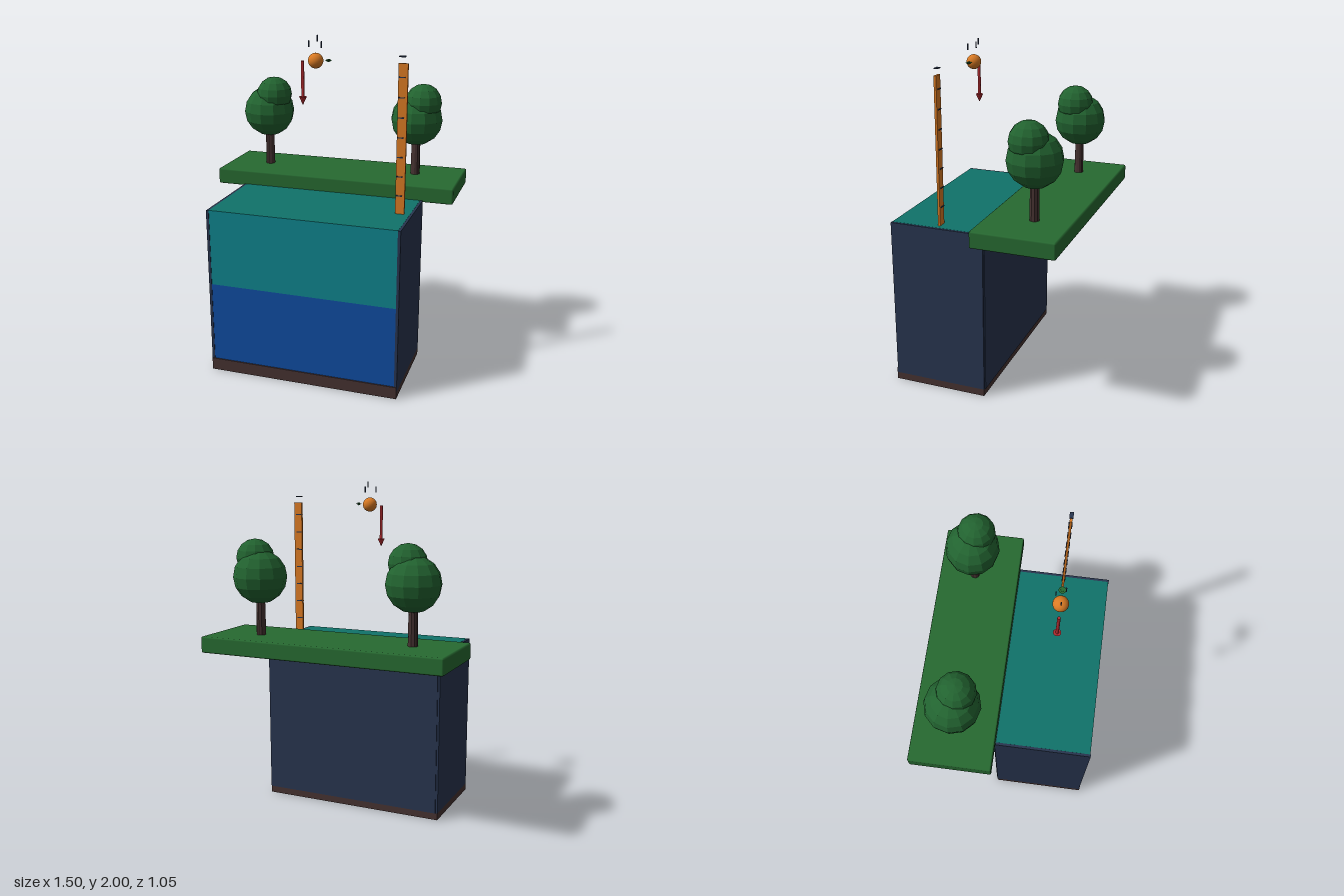
import * as THREE from 'three';
import { RoundedBoxGeometry } from 'three/addons/geometries/RoundedBoxGeometry.js';

const mat = (name, color) => {
  const m = new THREE.MeshStandardMaterial({ color });
  m.name = name;
  return m;
};

export function createModel() {
  const root = new THREE.Group();
  root.name = 'waterTankDiorama';

  const grass = mat('grass green', 0x276a31);
  const leaf = mat('leaf green', 0x226330);
  const earth = mat('earth brown', 0x463231);
  const shallow = mat('shallow water', 0x0f858e);
  const surface = mat('water surface', 0x10736a);
  const deep = mat('deep water', 0x0f4da2);
  const navy = mat('navy wall', 0x28354f);
  const orange = mat('orange', 0xdb7b24);
  const red = mat('red', 0xb02a2e);
  for (const m of [leaf, earth, red]) m.flatShading = true;

  const add = (name, geo, material, x, y, z, parent = root) => {
    const mesh = new THREE.Mesh(geo, material);
    mesh.name = name;
    mesh.position.set(x, y, z);
    parent.add(mesh);
    return mesh;
  };
  // Box given by its limits on each axis
  const box = (name, material, [x0, x1], [y0, y1], [z0, z1]) =>
    add(name, new THREE.BoxGeometry(x1 - x0, y1 - y0, z1 - z0), material,
      (x0 + x1) / 2, (y0 + y1) / 2, (z0 + z1) / 2);

  // Tank: bed, two layers of water, side and back walls
  box('bed', earth, [-0.572, 0.572], [0.003, 0.046], [-0.046, 0.522]);
  box('bedFrontEdge', earth, [-0.572, 0.572], [0.003, 0.076], [0.505, 0.524]);
  box('deepWater', deep, [-0.558, 0.558], [0.046, 0.56], [-0.04, 0.517]);
  box('shallowWater', [shallow, shallow, surface, shallow, shallow, shallow],
    [-0.558, 0.558], [0.56, 1.019], [-0.04, 0.517]);
  for (const s of [-1, 1]) {
    const xs = [s * 0.557, s * 0.573].sort((a, b) => a - b);
    box(s > 0 ? 'leftWall' : 'rightWall', navy, xs, [0.046, 1.018], [-0.046, 0.52]);
  }
  box('backWall', navy, [-0.56, 0.56], [0.046, 1.016], [-0.052, -0.038]);

  // Grass bank with slightly softened edges
  add('grassBank', new RoundedBoxGeometry(1.504, 0.098, 0.485, 1, 0.01), grass, 0, 1.056, -0.284);

  // Trees: trunk and two faceted crowns
  for (const [name, x, z] of [['rightTree', -0.489, -0.279], ['leftTree', 0.465, -0.311]]) {
    const tree = new THREE.Group();
    tree.name = name;
    tree.position.set(x, 0, z);
    root.add(tree);
    add('trunk', new THREE.CylinderGeometry(0.026, 0.029, 0.26, 10), earth, 0, 1.225, 0, tree);
    add('lowerCrown', new THREE.SphereGeometry(0.159, 12, 8), leaf, 0, 1.45, 0, tree);
    add('upperCrown', new THREE.SphereGeometry(0.112, 12, 8), leaf, 0.043, 1.56, 0.021, tree);
  }

  // Falling ball with speed lines above it
  const zc = 0.236;
  add('ball', new THREE.SphereGeometry(0.043, 24, 16), orange, 0, 1.862, zc);
  for (const [x, y, z] of [[-0.04, 1.954, 0.238], [0, 1.982, 0.206], [0.04, 1.954, 0.256]]) {
    add('speedLine', new THREE.BoxGeometry(0.006, 0.036, 0.006), navy, x, y, z);
  }

  // Long downward arrow
  add('arrowShaft', new THREE.CylinderGeometry(0.009, 0.009, 0.205, 12), red, -0.077, 1.755, zc);
  add('arrowHead', new THREE.ConeGeometry(0.022, 0.048, 14), red, -0.077, 1.632, zc).rotation.x = Math.PI;

  // Very short downward arrow
  add('smallArrowHead', new THREE.ConeGeometry(0.02, 0.012, 14), grass, 0.075, 1.862, zc).rotation.x = Math.PI;
  add('smallArrowShaft', new THREE.CylinderGeometry(0.009, 0.009, 0.004, 12), grass, 0.075, 1.87, zc);

  // Height ruler with tick marks
  box('ruler', orange, [0.473, 0.526], [1.018, 1.87], [zc - 0.007, zc + 0.007]);
  for (let i = 0; i < 8; i++) {
    add('rulerTick', new THREE.BoxGeometry(0.037, 0.006, 0.022), navy, 0.493, 1.126 + i * 0.1115, zc);
  }

  return root;
}
